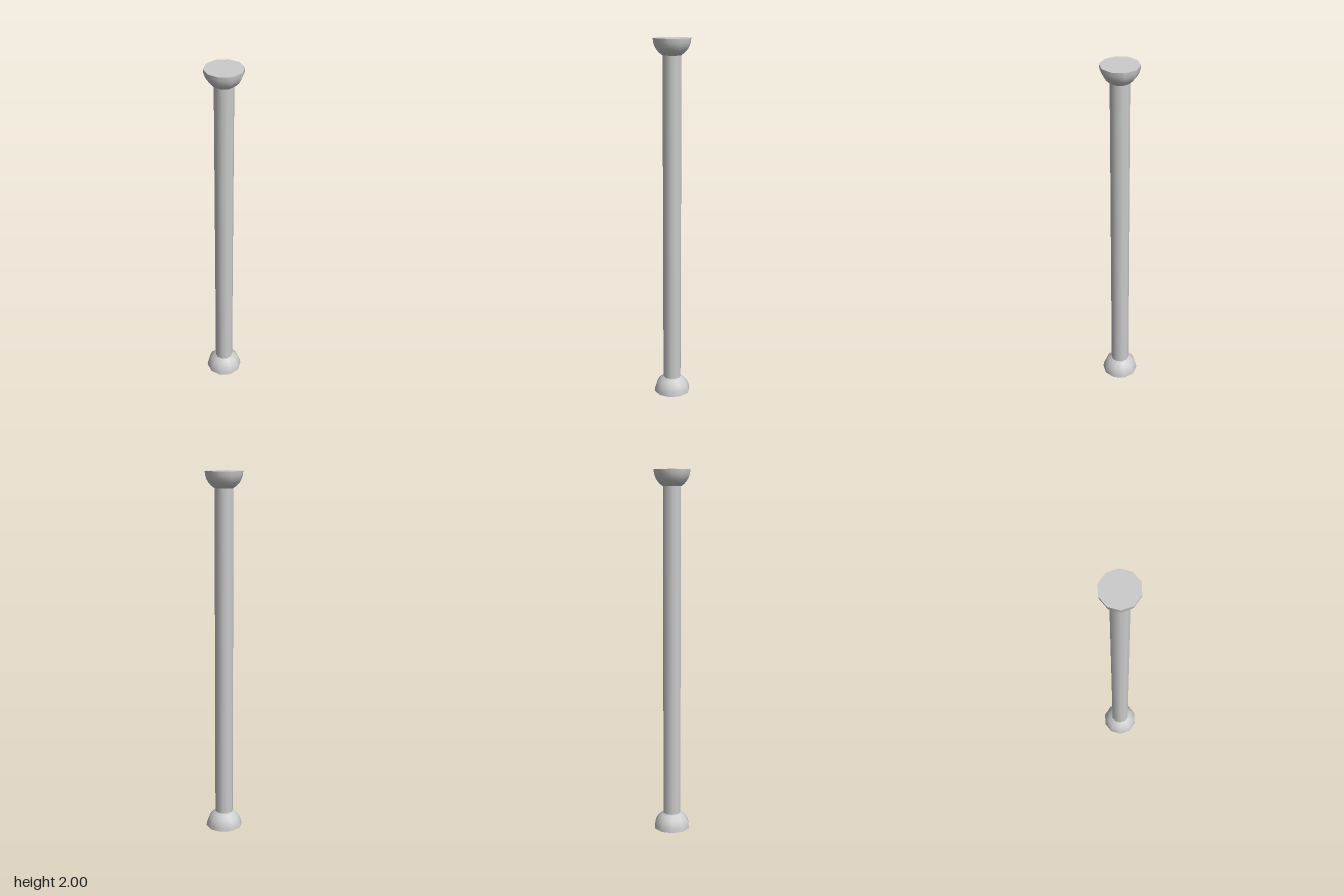
import * as THREE from 'three';

const SIDES = 10;
const END_RADIUS = 0.102;
const SHAFT_RADIUS = 0.051;
const HEIGHT = 2;

const material = new THREE.MeshStandardMaterial({ color: 0xcccccc });

// Ten-sided turned surface, profile given from bottom to top
function turned(name, points) {
  const profile = points.map(([r, y]) => new THREE.Vector2(r, y));
  const mesh = new THREE.Mesh(new THREE.LatheGeometry(profile, SIDES), material);
  mesh.name = name;
  return mesh;
}

// Half-ball end with a flat outer face, narrowing to the shaft
function createEnd(name) {
  const end = new THREE.Group();
  end.name = name;
  const steps = 5;
  const limit = Math.acos(SHAFT_RADIUS / END_RADIUS);
  const arc = [];
  for (let i = 0; i <= steps; i++) {
    const a = (limit * i) / steps;
    arc.push([END_RADIUS * Math.cos(a), END_RADIUS * Math.sin(a)]);
  }
  end.add(turned(name + 'Dome', arc));
  end.add(turned(name + 'FlatFace', [[0, 0], [END_RADIUS, 0]]));
  return end;
}

export function createModel() {
  const model = new THREE.Group();
  model.name = 'column';

  // Base and its upside-down twin at the top
  const base = createEnd('base');
  const capital = createEnd('capital');
  capital.rotation.x = Math.PI;
  capital.position.y = HEIGHT;

  // Straight shaft between the two ends
  const inset = Math.sqrt(END_RADIUS ** 2 - SHAFT_RADIUS ** 2);
  const shaft = turned('shaft', [[SHAFT_RADIUS, inset], [SHAFT_RADIUS, HEIGHT - inset]]);

  model.add(base, shaft, capital);
  return model;
}
